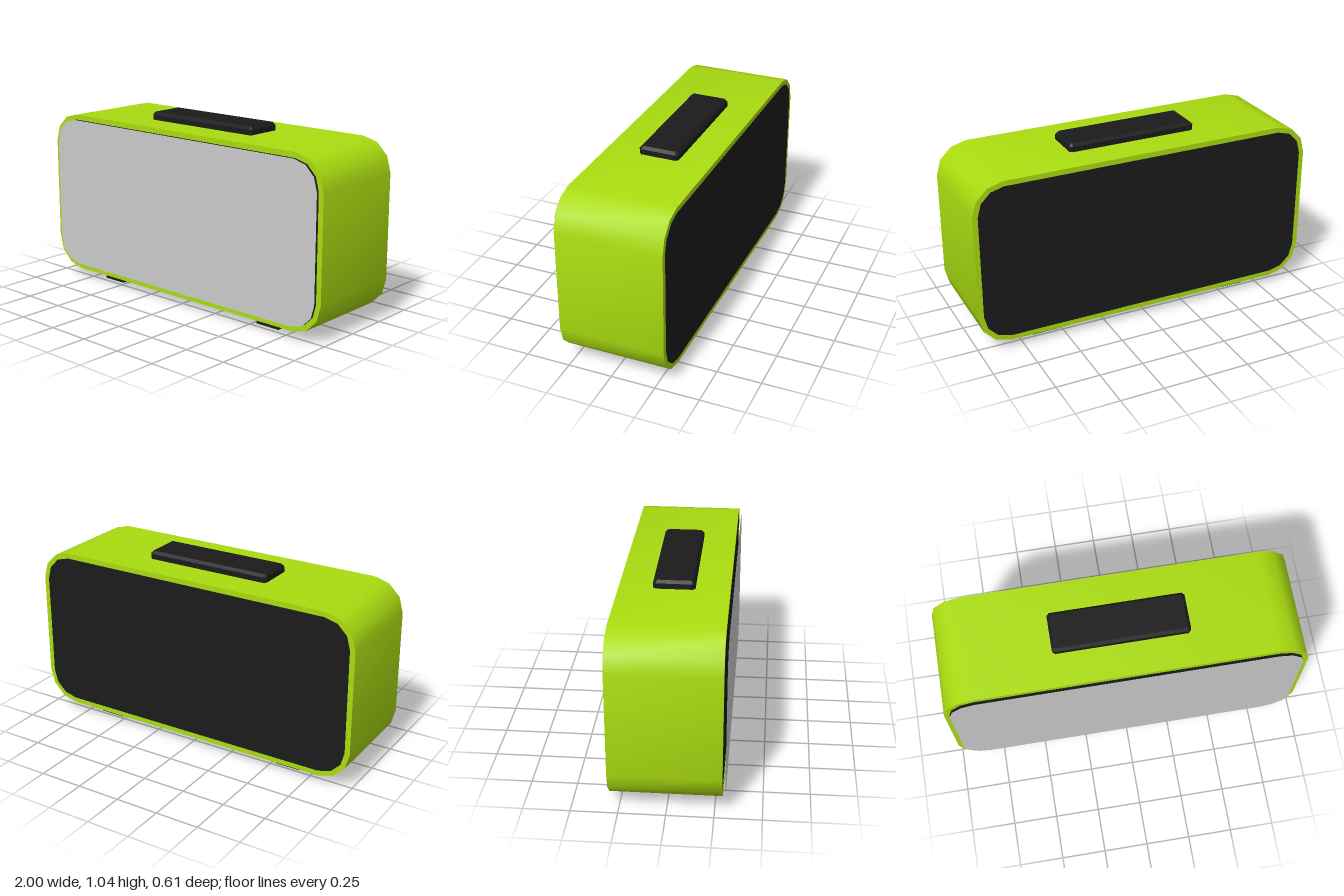
import * as THREE from 'three';
import { toCreasedNormals } from 'three/addons/utils/BufferGeometryUtils.js';

const green = new THREE.MeshStandardMaterial({ color: 0xaadc10 });
const black = new THREE.MeshStandardMaterial({ color: 0x1b1b1b });
const grey = new THREE.MeshStandardMaterial({ color: 0xcccccc, side: THREE.DoubleSide });

// Corner points of a rectangle with rounded corners, counter-clockwise
function roundedRect(halfW, halfH, radius, steps) {
  const points = [];
  for (let corner = 0; corner < 4; corner++) {
    const cx = (corner === 0 || corner === 3 ? 1 : -1) * (halfW - radius);
    const cy = (corner < 2 ? 1 : -1) * (halfH - radius);
    for (let i = 0; i <= steps; i++) {
      const a = (corner + i / steps) * Math.PI / 2;
      points.push(new THREE.Vector2(cx + radius * Math.cos(a), cy + radius * Math.sin(a)));
    }
  }
  return points;
}

function addMesh(group, name, geometry, material, x, y, z) {
  const mesh = new THREE.Mesh(geometry, material);
  mesh.name = name;
  mesh.position.set(x, y, z);
  group.add(mesh);
  return mesh;
}

export function createModel() {
  const group = new THREE.Group();
  group.name = 'tabletopSpeaker';
  const midY = 0.525;
  const opening = roundedRect(0.97, 0.445, 0.15, 3);

  // Casing: a rounded sleeve open at front and back
  const sleeve = new THREE.Shape(roundedRect(1, 0.475, 0.18, 3));
  sleeve.holes.push(new THREE.Path(opening));
  const casing = new THREE.ExtrudeGeometry(sleeve, { depth: 0.593, bevelEnabled: false });
  addMesh(group, 'casing', toCreasedNormals(casing, 0.7), green, 0, midY, -0.303);

  // Dark core filling the sleeve, also forming the back panel
  const core = new THREE.ExtrudeGeometry(new THREE.Shape(opening), { depth: 0.593, bevelEnabled: false });
  addMesh(group, 'core', core, black, 0, midY, -0.305);

  // Thin grille sheet just in front of the core
  addMesh(group, 'grille', new THREE.ShapeGeometry(new THREE.Shape(opening)), grey, 0, midY, 0.305);

  // Top button with chamfered edges
  const button = new THREE.ExtrudeGeometry(new THREE.Shape(roundedRect(0.36, 0.0975, 0.006, 1)), {
    depth: 0.04, bevelThickness: 0.015, bevelSize: 0.015, bevelSegments: 1,
  });
  button.rotateX(-Math.PI / 2);
  addMesh(group, 'topButton', button, black, 0, 0.99, -0.0075);

  // Two bar feet running front to back
  for (const side of [1, -1]) {
    const name = side > 0 ? 'leftFoot' : 'rightFoot';
    addMesh(group, name, new THREE.BoxGeometry(0.15, 0.055, 0.45), black, side * 0.597, 0.0275, -0.0075);
  }
  return group;
}
